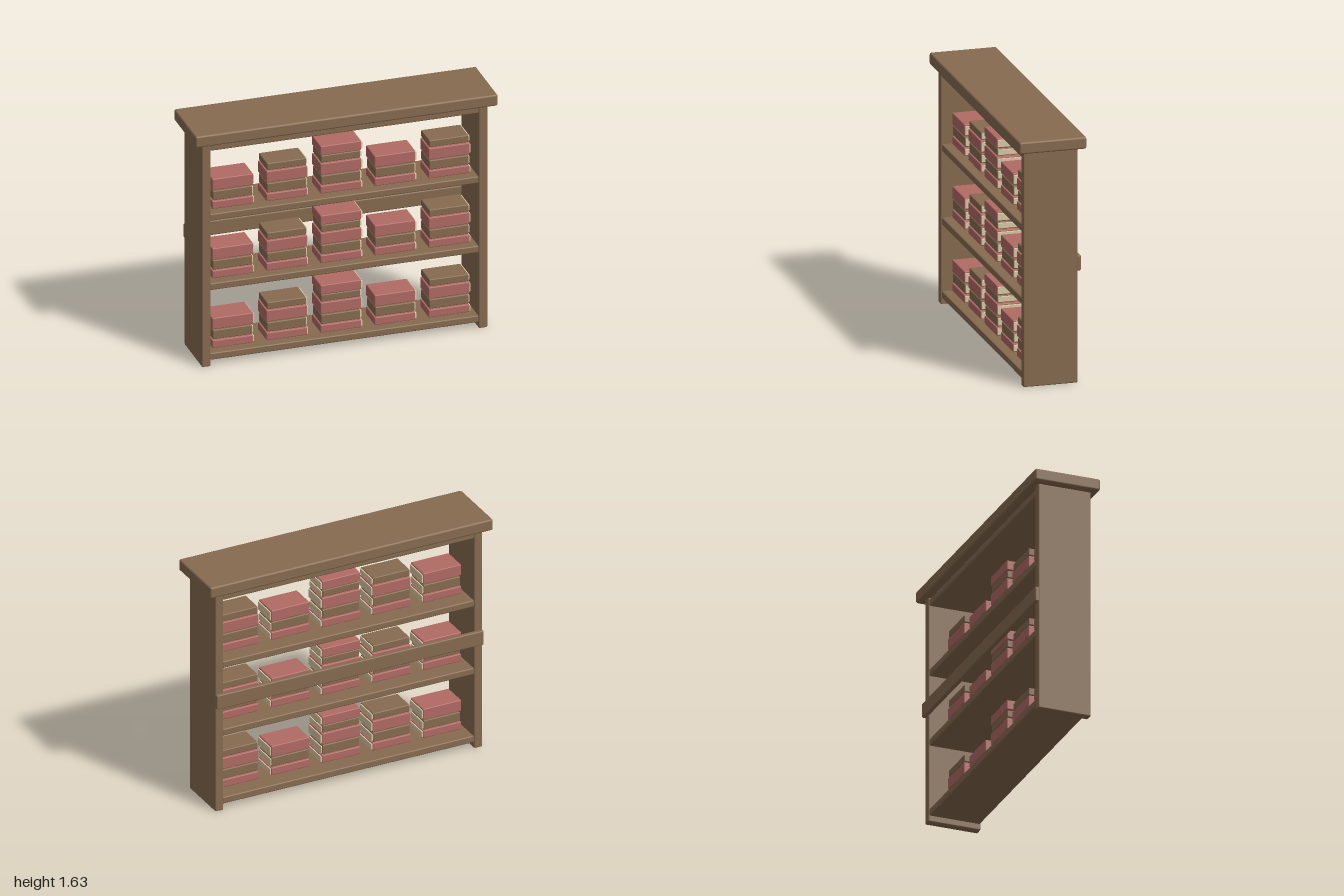
import * as THREE from 'three';
import { RoundedBoxGeometry } from 'three/addons/geometries/RoundedBoxGeometry.js';

export function createModel() {
  const mat = (name, color) => {
    const m = new THREE.MeshStandardMaterial({ color });
    m.name = name;
    return m;
  };
  const wood = mat('brown wood', 0x866b50);
  const red = mat('red cover', 0xb16a64);
  const cream = mat('cream pages', 0xdccba6);

  // Softly bevelled box given by its limits on each axis
  const slab = (parent, name, material, [x0, x1], [y0, y1], [z0, z1], bevel = 0.008) => {
    const geo = new RoundedBoxGeometry(x1 - x0, y1 - y0, z1 - z0, 2, bevel);
    const mesh = new THREE.Mesh(geo, material);
    mesh.position.set((x0 + x1) / 2, (y0 + y1) / 2, (z0 + z1) / 2);
    mesh.name = name;
    parent.add(mesh);
  };

  const model = new THREE.Group();
  model.name = 'bookcase';

  // Frame
  slab(model, 'topBoard', wood, [-1, 1], [1.555, 1.633], [-0.22, 0.22], 0.012);
  slab(model, 'rightSide', wood, [-0.945, -0.887], [0.003, 1.558], [-0.178, 0.178]);
  slab(model, 'leftSide', wood, [0.887, 0.945], [0.003, 1.558], [-0.178, 0.178]);
  slab(model, 'backRail', wood, [-0.945, 0.945], [0.74, 0.84], [-0.2, -0.17]);

  // Shelves, the highest sitting just under the top board
  const shelfTops = [0.09, 0.575, 1.058];
  [...shelfTops, 1.545].forEach((y) =>
    slab(model, 'shelf', wood, [-0.89, 0.89], [y - 0.047, y], [-0.172, 0.172]));

  // Books of a stack, bottom to top: height range above the shelf
  const layers = [[0.004, 0.057], [0.062, 0.126], [0.134, 0.212], [0.218, 0.266], [0.27, 0.334]];
  const stackSizes = [3, 4, 5, 3, 4];

  for (const shelfY of shelfTops) {
    stackSizes.forEach((count, s) => {
      const stack = new THREE.Group();
      stack.name = 'bookStack';
      stack.position.set((s - 2) * 0.358, shelfY, 0.025);
      for (let i = 0; i < count; i++) {
        const [y0, y1] = layers[i];
        const isRed = i % 2 === 0;
        const half = isRed ? 0.139 : 0.134;
        const depth = isRed ? 0.088 : 0.084;
        const inset = (y1 - y0) * 0.13;
        slab(stack, 'bookCover', isRed ? red : wood,
          [-half, half - 0.008], [y0, y1], [-depth, depth], 0.006);
        // Pages show at the open end
        slab(stack, 'bookPages', cream,
          [half - 0.04, half], [y0 + inset, y1 - inset], [-depth + 0.005, depth - 0.005], 0.002);
      }
      model.add(stack);
    });
  }
  return model;
}
